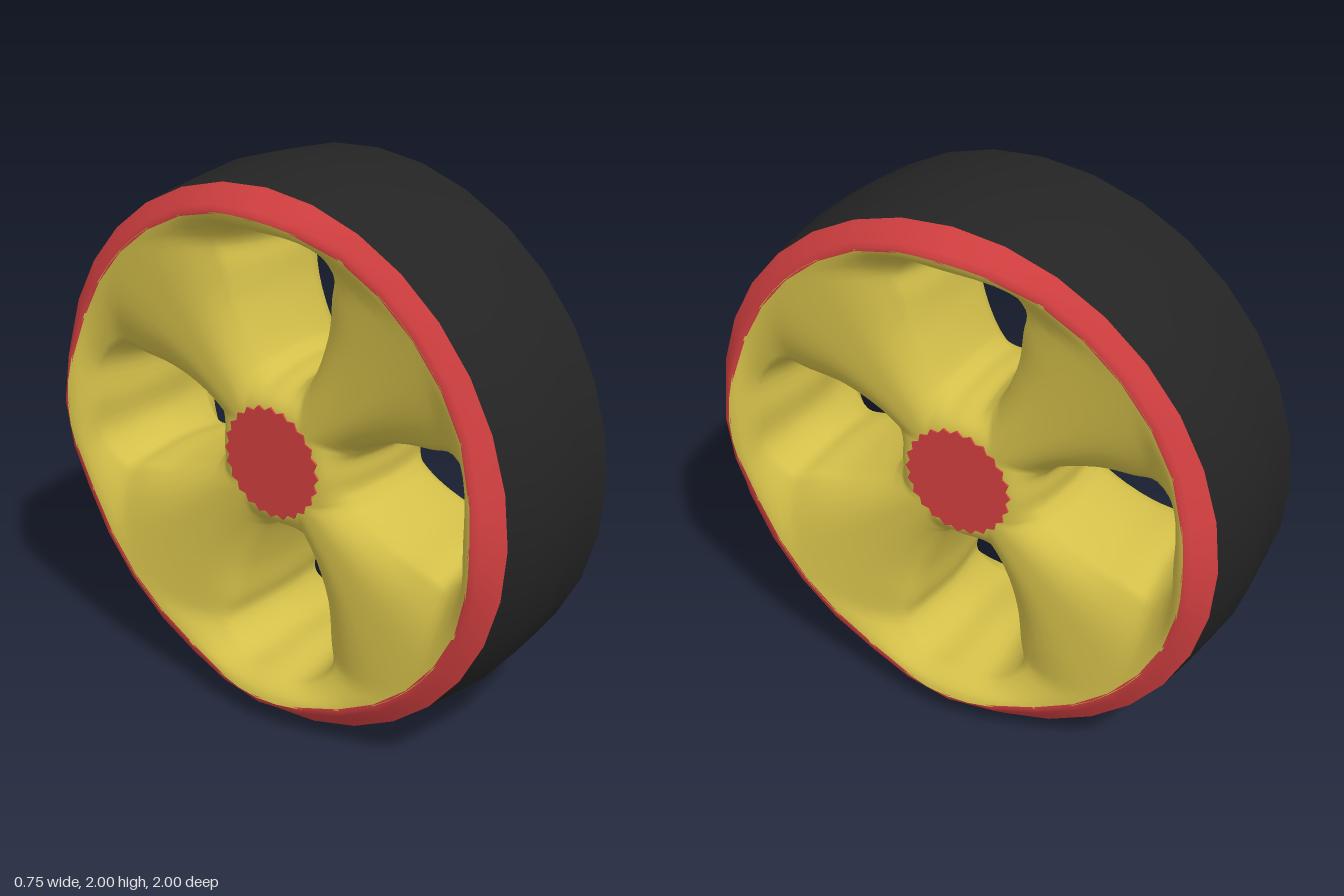
import * as THREE from 'three';
import { mergeVertices, mergeGeometries } from 'three/addons/utils/BufferGeometryUtils.js';

const SEGMENTS = 32;
const HALF = 0.285; // half width of the tyre at its edges
const HUB_X = 0.28;
const { lerp, clamp } = THREE.MathUtils;

// The rim swells outward in front of each of the four openings
function rimX(a) {
  const q = Math.PI / 2;
  const d = Math.abs(a - Math.round(a / q) * q);
  return 0.335 + (d < 0.48 ? 0.02 * (1 + Math.cos((Math.PI * d) / 0.48)) : 0);
}

// Height of the spoked face, from the hub out to the rim
function faceX(a, r) {
  const t = clamp((r - 0.2) / 0.69, 0, 1);
  return HUB_X + (rimX(a) - HUB_X) * t * t;
}

// Joins closed rings of [x, angle, radius] around the x axis
function loft(rows) {
  const n = rows[0].length;
  const pos = [];
  const index = [];
  rows.forEach((row) => row.forEach(([x, a, r]) => pos.push(x, r * Math.cos(a), r * Math.sin(a))));
  for (let i = 0; i < rows.length - 1; i++) {
    for (let j = 0; j < n; j++) {
      const k = (j + 1) % n;
      const a = i * n + j, b = i * n + k, c = a + n, d = b + n;
      index.push(a, b, d, a, d, c);
    }
  }
  const g = new THREE.BufferGeometry();
  g.setAttribute('position', new THREE.Float32BufferAttribute(pos, 3));
  g.setIndex(index);
  return g;
}

function smooth(g) {
  const m = mergeVertices(g, 1e-4);
  m.computeVertexNormals();
  return m;
}

// Mirrors rings to the other side, keeping the faces outward
const flip = (rows) => rows.map((row) => row.map(([x, a, r]) => [-x, a, r])).reverse();

// Half outline of an opening: [sideways, radial] matched with sector edge [angle, radius]
const Q = Math.PI / 4;
const OUTLINE = [
  [0, 0.78, 0, 0.89], [0.12, 0.78, Q / 2, 0.89], [0.2, 0.7, Q, 0.89], [0.187, 0.62, Q, 0.68],
  [0.165, 0.5, Q, 0.5], [0.1, 0.34, Q, 0.3], [0.075, 0.315, Q, 0.17], [0.05, 0.3, Q / 2, 0.17],
  [0, 0.3, 0, 0.17],
];
const STEPS = 4;

// Closed loop of outline points, with a rounded opening and a straight sector edge
function sectorLoop() {
  const mirrored = OUTLINE.slice(1, -1).reverse().map(([u, v, a, r]) => [-u, v, -a, r]);
  const keys = [...OUTLINE, ...mirrored];
  const curve = new THREE.CatmullRomCurve3(keys.map(([u, v]) => new THREE.Vector3(u, v, 0)), true);
  const count = keys.length * STEPS;
  return Array.from({ length: count }, (_, i) => {
    const p = curve.getPoint(i / count);
    const k0 = keys[Math.floor(i / STEPS)];
    const k1 = keys[(Math.floor(i / STEPS) + 1) % keys.length];
    const t = (i % STEPS) / STEPS;
    return [p.x, p.y, lerp(k0[2], k1[2], t), lerp(k0[3], k1[3], t)];
  });
}

function sectorRows() {
  const loop = sectorLoop();
  const hole = ([u, v], grow) => {
    const uu = u * (1 + grow * 1.3);
    const vv = 0.54 + (v - 0.54) * (1 + grow);
    return [Math.atan2(uu, vv), Math.hypot(uu, vv)];
  };
  const rows = [];
  // Face, rolling down into the lip of the opening
  for (const s of [1, 0.85, 0.7, 0.55, 0.4, 0.28, 0.17, 0.08, 0]) {
    rows.push(loop.map((p) => {
      const [ha, hr] = hole(p, 0.15);
      const a = lerp(ha, p[2], s);
      const r = lerp(hr, p[3], s);
      return [faceX(a, r) - 0.08 * (1 - s) ** 3, a, r];
    }));
  }
  // Wall of the opening
  for (const [x, grow] of [[0.17, 0.09], [0.1, 0.04]]) {
    rows.push(loop.map((p) => [x, ...hole(p, grow)]));
  }
  const waist = loop.map((p) => [0, ...hole(p, 0)]);
  return [...rows, waist, ...flip(rows)];
}

export function createModel() {
  const black = new THREE.MeshStandardMaterial({ color: 0x242424 });
  black.name = 'tyreBlack';
  const red = new THREE.MeshStandardMaterial({ color: 0xd23f40 });
  red.name = 'rimRed';
  const yellow = new THREE.MeshStandardMaterial({ color: 0xd4c04a });
  yellow.name = 'spokeYellow';

  const model = new THREE.Group();
  model.name = 'wheel';
  const wheel = new THREE.Group();
  wheel.name = 'wheelBody';
  wheel.position.y = 1;
  model.add(wheel);
  const add = (name, geometry, material) => {
    const mesh = new THREE.Mesh(geometry, material);
    mesh.name = name;
    wheel.add(mesh);
    return mesh;
  };

  const ring = (f) => Array.from({ length: SEGMENTS }, (_, i) => f((i / SEGMENTS) * Math.PI * 2));

  // Tyre with a slightly crowned tread
  const tread = [[-HALF, 0.972], [-0.14, 0.988], [0, 1], [0.14, 0.988], [HALF, 0.972]];
  add('tyre', smooth(loft(tread.map(([x, r]) => ring((a) => [x, a, r])))), black);

  // Rounded rims on both sides
  const rim = [[0, 0.972], [0.4, 0.945], [0.85, 0.915], [1, 0.898], [0.99, 0.885]].map(([t, r]) =>
    ring((a) => [HALF + (rimX(a) - HALF) * t, a, r]));
  add('leftRim', smooth(loft(rim)), red);
  add('rightRim', smooth(loft(flip(rim))), red);

  // Four sectors of the spoked disc, each wrapped around one opening
  const rows = sectorRows();
  const sectors = [0, 1, 2, 3].map((k) => loft(rows).rotateX((k * Math.PI) / 2));
  add('spokes', smooth(mergeGeometries(sectors)), yellow);

  // Serrated hub caps
  const star = new THREE.Shape();
  for (let i = 0; i < 48; i++) {
    const r = i % 2 ? 0.19 : 0.206;
    const a = (i / 48) * Math.PI * 2;
    star[i ? 'lineTo' : 'moveTo'](r * Math.cos(a), r * Math.sin(a));
  }
  const cap = new THREE.ExtrudeGeometry(star, { depth: 0.008, bevelEnabled: false });
  for (const side of [1, -1]) {
    const hub = add(side > 0 ? 'leftHubCap' : 'rightHubCap', cap, red);
    hub.rotation.y = (side * Math.PI) / 2;
    hub.position.x = side * (HUB_X - 0.004);
  }
  return model;
}
